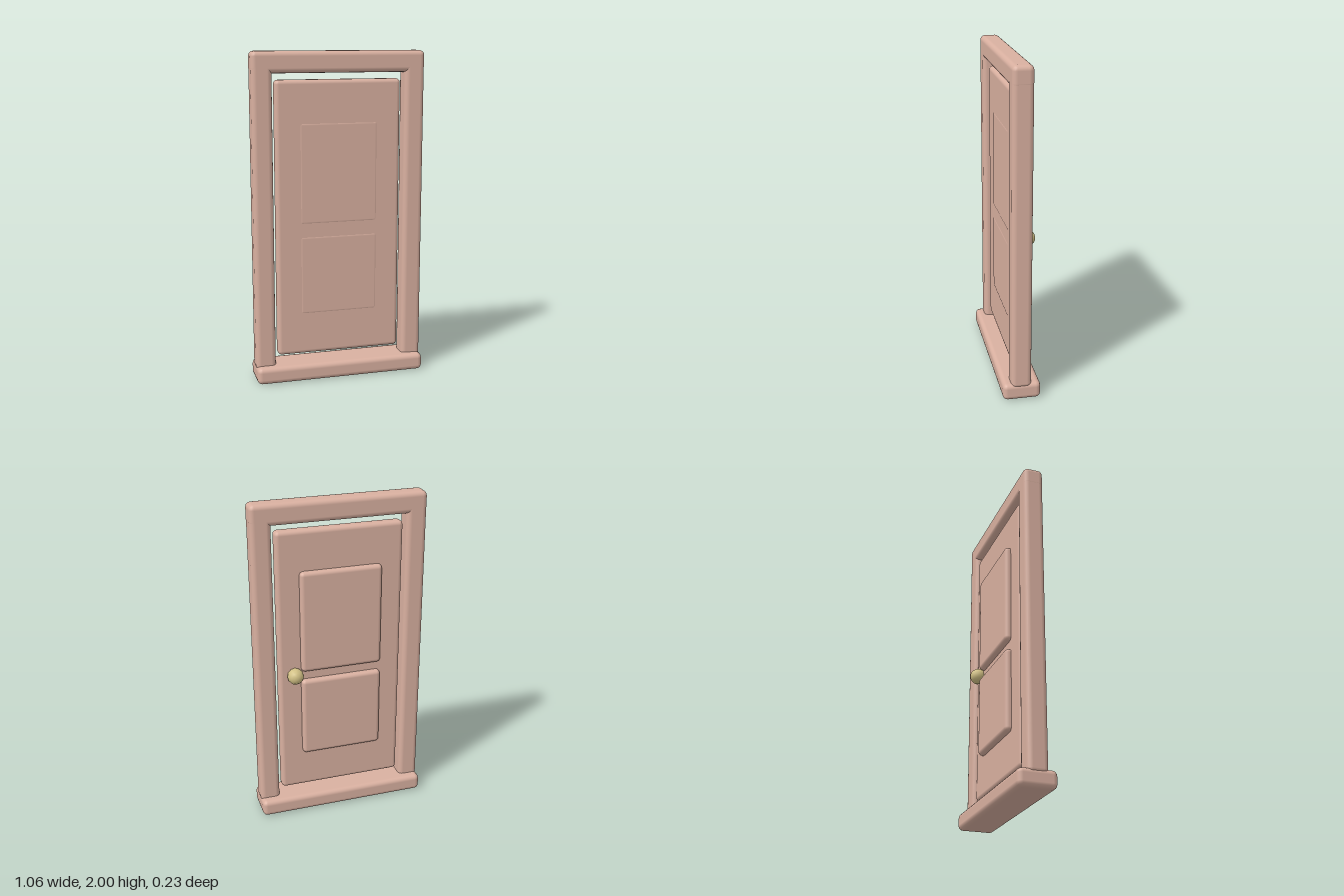
import * as THREE from 'three';
import { RoundedBoxGeometry } from 'three/addons/geometries/RoundedBoxGeometry.js';

export function createModel() {
  const model = new THREE.Group();
  const wood = new THREE.MeshStandardMaterial({ color: 0xd9b0a0 });
  const brass = new THREE.MeshStandardMaterial({ color: 0xd2c185 });

  // Soft-edged box given by its extents along each axis
  function block(name, [x0, x1], [y0, y1], [z0, z1], radius) {
    const geometry = new RoundedBoxGeometry(x1 - x0, y1 - y0, z1 - z0, 2, radius);
    const mesh = new THREE.Mesh(geometry, wood);
    mesh.position.set((x0 + x1) / 2, (y0 + y1) / 2, (z0 + z1) / 2);
    mesh.name = name;
    model.add(mesh);
  }

  // Frame
  const frameDepth = [-0.057, 0.065];
  block('sill', [-0.528, 0.528], [0, 0.105], [-0.113, 0.115], 0.03);
  block('lintel', [-0.528, 0.528], [1.872, 2], frameDepth, 0.03);
  block('leftJamb', [0.404, 0.527], [0.075, 1.96], frameDepth, 0.03);
  block('rightJamb', [-0.527, -0.404], [0.075, 1.96], frameDepth, 0.03);

  // Door leaf, hung clear of the frame
  block('doorLeaf', [-0.385, 0.385], [0.15, 1.833], [-0.045, 0.034], 0.025);

  // Panels run through the leaf: nearly flush in front, raised at the back
  const panelDepth = [-0.08, 0.036];
  block('upperPanel', [-0.25, 0.25], [0.96, 1.59], panelDepth, 0.024);
  block('lowerPanel', [-0.25, 0.25], [0.397, 0.903], panelDepth, 0.024);

  // Knob on the back
  const knob = new THREE.Mesh(new THREE.SphereGeometry(0.05, 12, 8), brass);
  knob.name = 'knob';
  knob.rotation.x = Math.PI / 2;
  knob.position.set(0.29, 0.94, -0.069);
  model.add(knob);

  return model;
}
